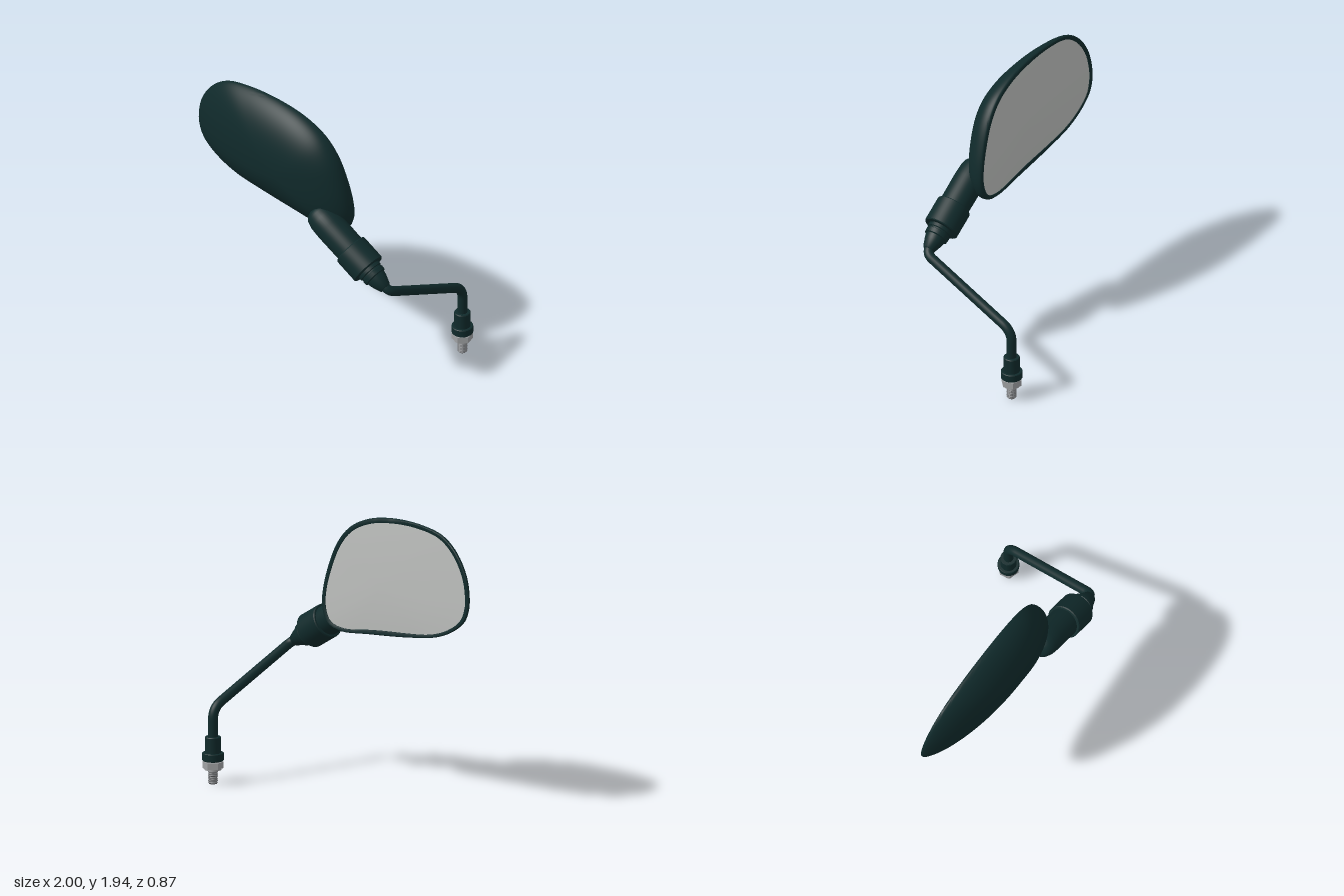
import * as THREE from 'three';
import { mergeVertices, toCreasedNormals } from 'three/addons/utils/BufferGeometryUtils.js';

const mat = (name, color, side = THREE.FrontSide) => {
  const m = new THREE.MeshStandardMaterial({ color, side });
  m.name = name;
  return m;
};

const V3 = (x, y, z) => new THREE.Vector3(x, y, z);

// Joins closed rings of equal length with quads
function loft(rings) {
  const n = rings[0].length, pos = [], idx = [];
  rings.forEach(r => r.forEach(p => pos.push(p.x, p.y, p.z)));
  for (let i = 0; i < rings.length - 1; i++) {
    for (let j = 0; j < n; j++) {
      const a = i * n + j, b = i * n + (j + 1) % n;
      idx.push(a, a + n, b, b, a + n, b + n);
    }
  }
  const g = new THREE.BufferGeometry();
  g.setAttribute('position', new THREE.Float32BufferAttribute(pos, 3));
  g.setIndex(idx);
  const welded = mergeVertices(g, 1e-5);
  welded.computeVertexNormals();
  return welded;
}

// Turned part from [radius, height] pairs, bottom to top
function turned(profile, segments = 40) {
  const g = new THREE.LatheGeometry(profile.map(p => new THREE.Vector2(p[0], p[1])), segments);
  return toCreasedNormals(g, 0.6);
}

export function createModel() {
  const model = new THREE.Group();
  model.name = 'wingMirror';
  const black = mat('darkPlastic', 0x102a2b);
  const glassMat = mat('mirrorGlass', 0xbcbebc);
  const steel = mat('nutSteel', 0xa0a2a4);
  const stud = mat('studSteel', 0x707275);

  const add = (name, geometry, material, parent = model) => {
    const m = new THREE.Mesh(geometry, material);
    m.name = name;
    parent.add(m);
    return m;
  };

  // Head outline, seen from the front
  const outline = new THREE.CatmullRomCurve3([
    [-1, 1.47], [-0.97, 1.63], [-0.87, 1.79], [-0.74, 1.885], [-0.55, 1.927], [-0.3, 1.932],
    [-0.07, 1.893], [0.1, 1.81], [0.21, 1.685], [0.29, 1.5], [0.33, 1.337], [0.332, 1.22],
    [0.285, 1.115], [0.17, 1.077], [-0.1, 1.096], [-0.47, 1.134], [-0.71, 1.176],
    [-0.87, 1.246], [-0.963, 1.326], [-0.993, 1.4]
  ].map(p => V3(p[0], p[1], 0)), true).getSpacedPoints(96).slice(0, 96);
  const centre = V3(-0.2, 1.45, 0);
  const planeZ = (x, y) => 0.09 + 0.218 * (x - 0.33) + 0.05 * (y - 1.2);

  // One ring of the head: scaled outline, moved in by inset, raised off the tilted plane
  const ring = (scale, inset, lift) => outline.map(p => {
    const d = p.clone().sub(centre), len = d.length();
    d.normalize();
    const q = centre.clone().addScaledVector(d, Math.max(0, len - inset) * scale);
    q.z = planeZ(q.x, q.y) + (typeof lift === 'function' ? lift(d.x) : lift);
    return q;
  });

  // Shell: recess wall, rim, then the dome, blunter towards the arm
  const shell = [ring(1, 0.036, 0.015), ring(1, 0.034, 0.001), ring(1, 0.028, -0.002),
    ring(1, 0.008, -0.002), ring(1, 0.002, 0.003)];
  const steps = 28;
  for (let i = 0; i <= steps; i++) {
    const phi = (Math.PI / 2) * (1 - i / steps);
    const c = i === 0 ? 0 : Math.cos(phi);
    shell.push(ring(i === steps ? 0 : Math.sin(phi), 0,
      dx => 0.012 + 0.24 * Math.pow(c, 2 * (0.6 - 0.1 * dx))));
  }
  add('mirrorShell', toCreasedNormals(loft(shell), 0.7), black);

  // Slightly convex glass
  const glass = [];
  for (let i = 0; i <= 8; i++) {
    const r = i / 8;
    glass.push(ring(r, 0.035, 0.005 - 0.012 * (1 - r * r)));
  }
  add('mirrorGlass', loft(glass), glassMat);

  // Swivel joint on a slanted axis
  const joint = new THREE.Group();
  joint.name = 'swivelJoint';
  joint.position.set(0.47, 1.03, 0.288);
  joint.quaternion.setFromUnitVectors(V3(0, 1, 0), V3(0.835, -0.517, 0.18).normalize());
  model.add(joint);
  add('socketStub', turned([[0, -0.47], [0.04, -0.466], [0.07, -0.452], [0.092, -0.425],
    [0.104, -0.38], [0.108, -0.3], [0.106, -0.09]]), black, joint);
  add('socketCollar', turned([[0, -0.095], [0.118, -0.095], [0.124, -0.089], [0.124, 0.089],
    [0.118, 0.095], [0, 0.095]]), black, joint);
  add('jointBoot', turned([[0.088, 0.09], [0.088, 0.118], [0.08, 0.122], [0.08, 0.132],
    [0.086, 0.136], [0.083, 0.165], [0.072, 0.17], [0.066, 0.2], [0.044, 0.262],
    [0.036, 0.27], [0, 0.27]]), black, joint);

  // Bent arm: straight runs joined by rounded corners
  const corners = [V3(0.63, 0.93, 0.322), V3(0.722, 0.876, 0.343),
    V3(0.922, 0.53, -0.368), V3(0.922, 0.28, -0.368)];
  const path = new THREE.CurvePath();
  let from = corners[0];
  [0.06, 0.085].forEach((bend, i) => {
    const k = corners[i + 1];
    const a = k.clone().add(corners[i].clone().sub(k).setLength(bend));
    const b = k.clone().add(corners[i + 2].clone().sub(k).setLength(bend));
    path.add(new THREE.LineCurve3(from, a));
    path.add(new THREE.QuadraticBezierCurve3(a, k, b));
    from = b;
  });
  path.add(new THREE.LineCurve3(from, corners[3]));
  add('arm', new THREE.TubeGeometry(path, 120, 0.034, 20, false), black);

  // Mount at the foot of the arm
  const mount = new THREE.Group();
  mount.name = 'mount';
  mount.position.set(0.922, 0, -0.368);
  model.add(mount);
  add('sleeve', turned([[0.056, 0.2], [0.056, 0.325], [0.052, 0.33], [0, 0.33]]), black, mount);
  add('sleeveFlange', turned([[0, 0.162], [0.07, 0.162], [0.074, 0.166], [0.074, 0.214],
    [0.07, 0.218], [0, 0.218]]), black, mount);
  const nut = add('lockNut', new THREE.CylinderGeometry(0.073, 0.073, 0.046, 6).toNonIndexed(), steel, mount);
  nut.geometry.computeVertexNormals();
  nut.position.y = 0.132;
  add('nutWasher', turned([[0, 0.098], [0.058, 0.098], [0.058, 0.11], [0, 0.11]]), steel, mount);
  add('nutNeck', turned([[0.05, 0.15], [0.05, 0.165]]), steel, mount);

  // Threaded stud
  const thread = [[0, 0], [0.027, 0]];
  for (let i = 0; i < 8; i++) {
    thread.push([0.028, 0.003 + i * 0.0125], [0.034, 0.009 + i * 0.0125]);
  }
  thread.push([0.028, 0.105]);
  add('threadedStud', turned(thread, 24), stud, mount);

  return model;
}
